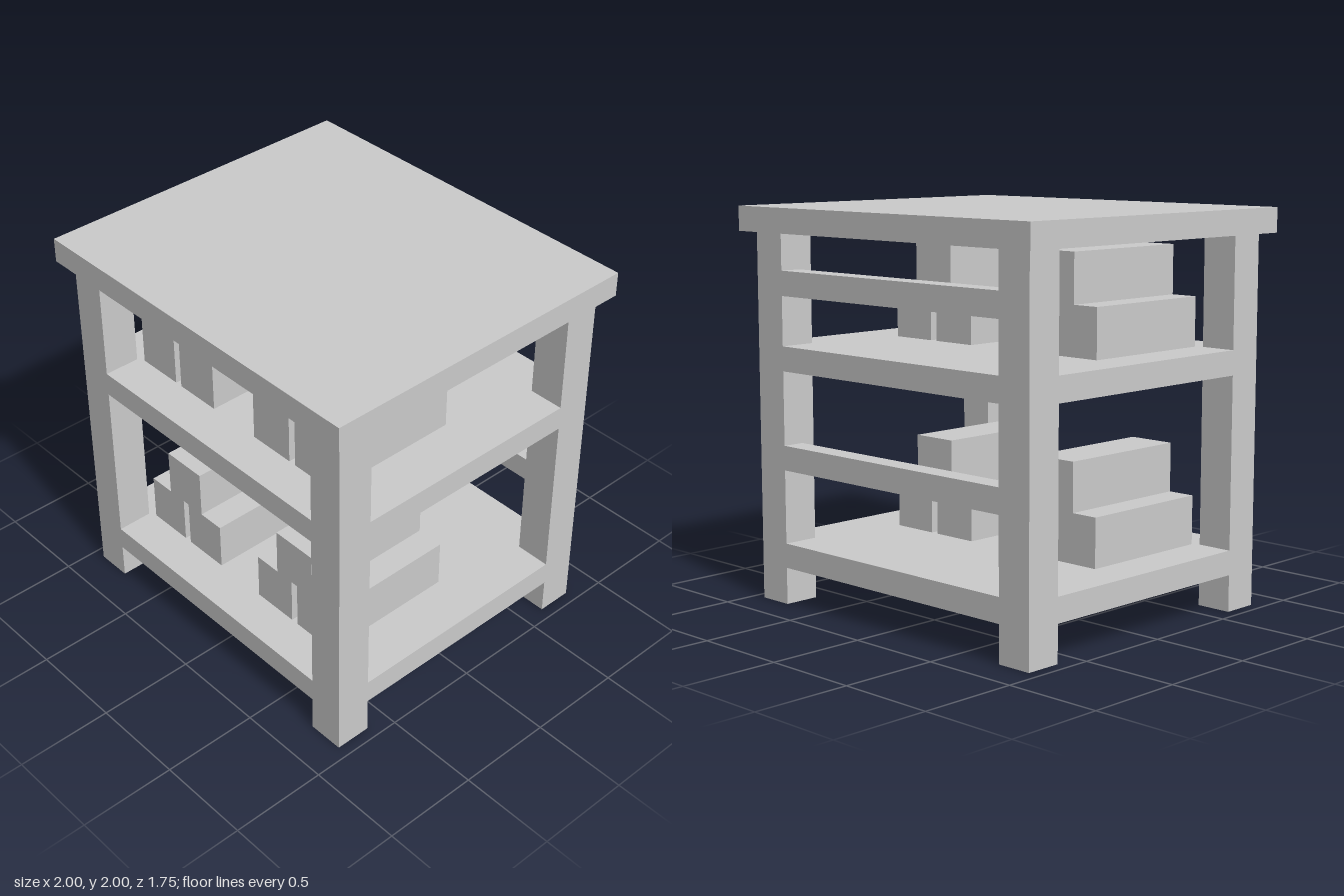
import * as THREE from 'three';

export function createModel() {
  const model = new THREE.Group();
  const material = new THREE.MeshStandardMaterial({ color: 0xcccccc, flatShading: true });

  // Box given by its lower and upper bounds on each axis
  const addBox = (parent, name, [x0, x1], [y0, y1], [z0, z1]) => {
    const mesh = new THREE.Mesh(new THREE.BoxGeometry(x1 - x0, y1 - y0, z1 - z0), material);
    mesh.name = name;
    mesh.position.set((x0 + x1) / 2, (y0 + y1) / 2, (z0 + z1) / 2);
    parent.add(mesh);
  };

  const outX = 0.9375, outZ = 0.8125, inX = 0.75, inZ = 0.625;

  // Table top
  addBox(model, 'tableTop', [-1, 1], [1.875, 2], [-0.875, 0.875]);

  // Four legs
  for (const [side, x] of [['left', [inX, outX]], ['right', [-outX, -inX]]]) {
    addBox(model, side + 'FrontLeg', x, [0, 1.875], [inZ, outZ]);
    addBox(model, side + 'BackLeg', x, [0, 1.875], [-outZ, -inZ]);
  }

  // Shelf board with its corners notched around the legs
  const outline = new THREE.Shape([
    [-inX, -outZ], [inX, -outZ], [inX, -inZ], [outX, -inZ], [outX, inZ], [inX, inZ],
    [inX, outZ], [-inX, outZ], [-inX, inZ], [-outX, inZ], [-outX, -inZ], [-inX, -inZ],
  ].map(([x, z]) => new THREE.Vector2(x, z)));
  const shelfGeometry = new THREE.ExtrudeGeometry(outline, { depth: 0.125, bevelEnabled: false });
  shelfGeometry.rotateX(-Math.PI / 2);

  // Stack of three bars: two below, one bridging the gap
  const addStack = (name, x, y) => {
    const stack = new THREE.Group();
    stack.name = name;
    stack.position.set(x, y, 0);
    const z = [-0.125, 0.605];
    addBox(stack, 'lowerBarRight', [-0.27, -0.02], [0, 0.25], z);
    addBox(stack, 'lowerBarLeft', [0.02, 0.27], [0, 0.25], z);
    addBox(stack, 'upperBar', [-0.125, 0.125], [0.25, 0.5], z);
    model.add(stack);
  };

  // Each level: shelf, rear rail and two stacks
  for (const [level, y, railY] of [['lower', 0.1875, 0.6875], ['upper', 1.1875, 1.5625]]) {
    const shelf = new THREE.Mesh(shelfGeometry, material);
    shelf.name = level + 'Shelf';
    shelf.position.y = y;
    model.add(shelf);
    addBox(model, level + 'BackRail', [-inX, inX], [railY, railY + 0.125], [-outZ, -outZ + 0.115]);
    addStack(level + 'RightBarStack', -0.445, y + 0.125);
    addStack(level + 'LeftBarStack', 0.39, y + 0.125);
  }

  return model;
}
